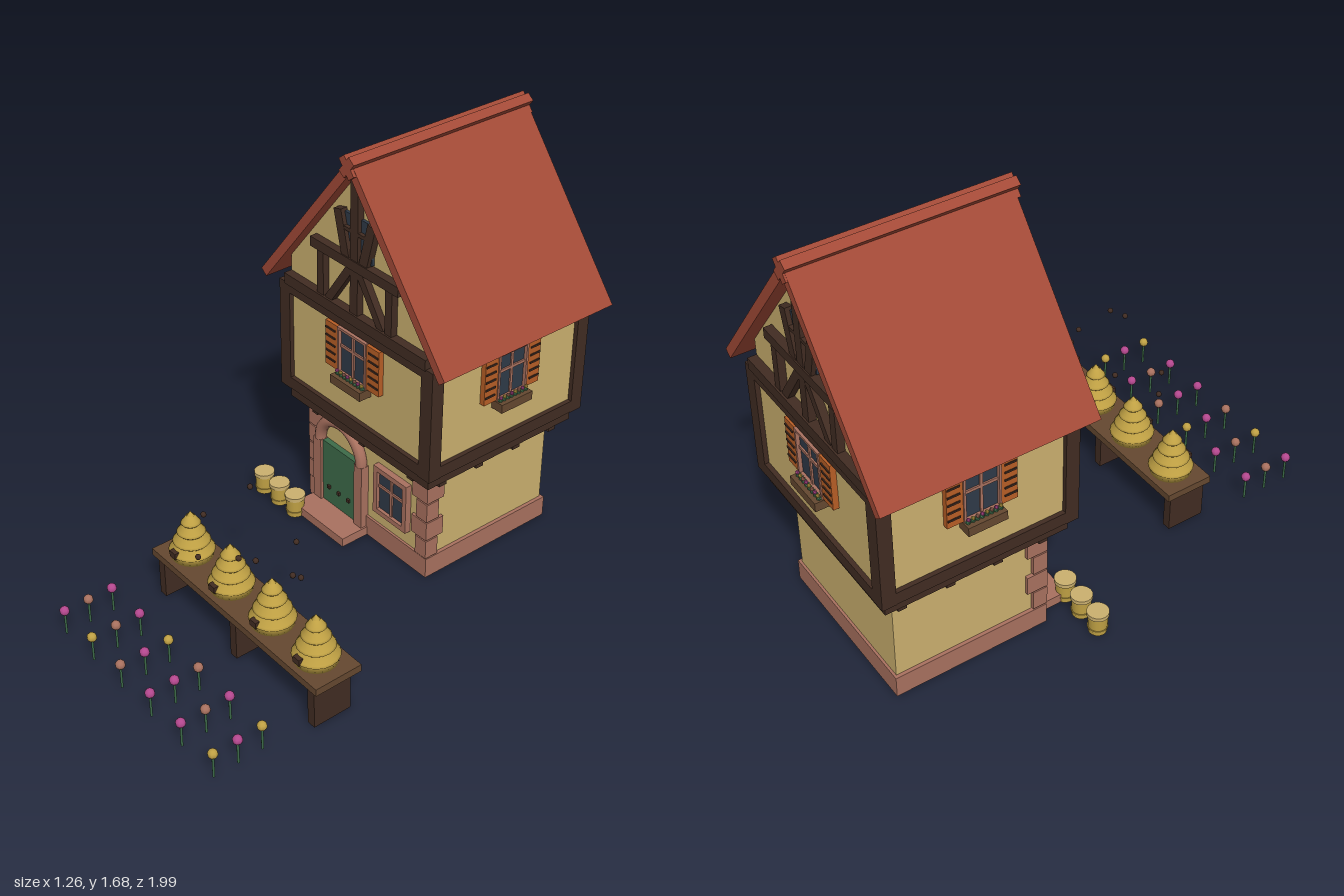
import * as THREE from 'three';

const mat = (name, color) => Object.assign(new THREE.MeshStandardMaterial({ color }), { name });
const M = {
  plaster: mat('plaster', 0xcbb06f), roof: mat('roof tile', 0xa34a37), timber: mat('dark timber', 0x412c22),
  stone: mat('pink stone', 0xa9715f), green: mat('green', 0x3d6b49), orange: mat('orange shutter', 0xb85e26),
  glass: mat('window glass', 0x2f3a48), straw: mat('straw', 0xc0a144), pink: mat('magenta petal', 0xb5488f),
  plank: mat('bench plank', 0x654830),
};

function add(parent, name, geo, m, x = 0, y = 0, z = 0) {
  const mesh = new THREE.Mesh(geo, m);
  mesh.name = name;
  mesh.position.set(x, y, z);
  parent.add(mesh);
  return mesh;
}
const box = (p, name, m, w, h, d, x, y, z) => add(p, name, new THREE.BoxGeometry(w, h, d), m, x, y, z);

function group(parent, name, x = 0, y = 0, z = 0, ry = 0) {
  const g = new THREE.Group();
  g.name = name;
  g.position.set(x, y, z);
  g.rotation.y = ry;
  parent.add(g);
  return g;
}

// Straight timber between two points on a wall plane
function beam(p, name, x1, y1, x2, y2, z, width, depth) {
  const b = box(p, name, M.timber, width, Math.hypot(x2 - x1, y2 - y1), depth, (x1 + x2) / 2, (y1 + y2) / 2, z);
  b.rotation.z = -Math.atan2(x2 - x1, y2 - y1);
  return b;
}

// Extrude an outline along z, centred
function prism(points, depth) {
  const shape = new THREE.Shape(points.map(([x, y]) => new THREE.Vector2(x, y)));
  return new THREE.ExtrudeGeometry(shape, { depth, bevelEnabled: false }).translate(0, 0, -depth / 2);
}

// Pane with stone surround and cross bars
function pane(p, w, h, y, rim) {
  box(p, 'windowGlass', M.glass, w, h, 0.012, 0, y, 0.006);
  for (const s of [-1, 1]) {
    box(p, 'windowJamb', M.stone, rim, h + rim * 2, 0.026, s * (w + rim) / 2, y, 0.013);
    box(p, 'windowRail', M.stone, w, rim, 0.026, 0, y + s * (h + rim) / 2, 0.013);
  }
  box(p, 'mullion', M.stone, 0.012, h, 0.018, 0, y, 0.009);
  box(p, 'transom', M.stone, w, 0.012, 0.018, 0, y + 0.02, 0.009);
}

// Shuttered window with flower box
function shutteredWindow(parent, x, z, ry, scale) {
  const g = group(parent, 'shutteredWindow', x, 0, z, ry);
  g.scale.x = scale;
  pane(g, 0.142, 0.18, 0.855, 0.01);
  for (const s of [-1, 1]) {
    box(g, 'shutter', M.orange, 0.07, 0.19, 0.022, s * 0.117, 0.856, 0.011);
    for (let i = 0; i < 5; i++)
      box(g, 'shutterSlat', M.timber, 0.054, 0.007, 0.006, s * 0.122, 0.792 + i * 0.033, 0.023);
  }
  box(g, 'flowerBox', M.plank, 0.17, 0.036, 0.055, 0, 0.738, 0.0275);
  for (let i = 0; i < 8; i++) {
    const fx = -0.07 + i * 0.02;
    add(g, 'boxLeaf', new THREE.IcosahedronGeometry(0.011, 0), M.green, fx, 0.759, 0.03);
    add(g, 'boxFlower', new THREE.IcosahedronGeometry(0.008, 0), [M.pink, M.straw, M.stone][i % 3], fx, 0.772, 0.034);
  }
}

// Timber framing of one gable
function gable(house, ry) {
  const g = group(house, 'gableFrame', 0, 0, 0, ry);
  const z = 0.37;
  box(g, 'gableSill', M.timber, 0.794, 0.045, 0.05, 0, 1.018, z);
  box(g, 'collarBeam', M.timber, 0.486, 0.04, 0.045, 0, 1.24, z);
  box(g, 'kingPost', M.timber, 0.042, 0.54, 0.036, 0, 1.31, z);
  box(g, 'atticWindow', M.glass, 0.16, 0.16, 0.024, 0, 1.345, 0.36);
  box(g, 'atticTransom', M.timber, 0.12, 0.014, 0.034, 0, 1.37, z);
  for (const s of [-1, 1]) {
    box(g, 'gablePost', M.timber, 0.036, 0.19, 0.036, s * 0.19, 1.13, z);
    beam(g, 'gableBrace', s * 0.15, 1.035, s * 0.02, 1.225, z, 0.034, 0.034);
    beam(g, 'upperBrace', s * 0.045, 1.245, s * 0.093, 1.43, z, 0.042, 0.036);
  }
}

function buildHouse(root) {
  const h = group(root, 'house', -0.104, 0, -0.567);
  // Ground floor
  box(h, 'groundWall', M.plaster, 0.675, 0.47, 0.61, 0, 0.235, 0);
  box(h, 'plinth', M.stone, 0.705, 0.088, 0.63, 0, 0.046, 0);
  for (const s of [-1, 1])
    for (let i = 0; i < 4; i++) {
      const w = i % 2 ? 0.085 : 0.06;
      box(h, 'cornerStone', M.stone, w, 0.08, w, s * (0.352 - w / 2), 0.135 + i * 0.086, 0.318 - w / 2);
    }
  // Arched door and step
  const d = group(h, 'doorway', -0.148, 0, 0.305);
  box(d, 'door', M.green, 0.21, 0.285, 0.024, 0, 0.1825, 0.012);
  add(d, 'doorArch', new THREE.TorusGeometry(0.125, 0.024, 10, 24, Math.PI), M.stone, 0, 0.325, 0.018);
  for (const s of [-1, 1]) box(d, 'doorJamb', M.stone, 0.046, 0.29, 0.036, s * 0.125, 0.182, 0.018);
  for (let i = 0; i < 3; i++) box(d, 'doorStud', M.timber, 0.014, 0.014, 0.01, -0.06 + i * 0.06, 0.12, 0.028);
  box(d, 'doorStep', M.stone, 0.31, 0.038, 0.14, 0, 0.02, 0.065);
  pane(group(h, 'groundWindow', 0.153, 0, 0.305), 0.146, 0.175, 0.268, 0.022);

  // Jettied upper floor
  box(h, 'jettyBeam', M.timber, 0.805, 0.06, 0.73, 0, 0.502, 0);
  box(h, 'sillBeam', M.timber, 0.866, 0.05, 0.78, 0, 0.557, 0);
  box(h, 'upperWall', M.plaster, 0.83, 0.4, 0.744, 0, 0.77, 0);
  box(h, 'topPlate', M.timber, 0.866, 0.04, 0.78, 0, 0.98, 0);
  for (const s of [-1, 1]) {
    for (const t of [-1, 1]) box(h, 'cornerPost', M.timber, 0.06, 0.47, 0.055, s * 0.403, 0.765, t * 0.3625);
    for (const z of [-0.29, -0.1, 0.09, 0.275]) box(h, 'sideJoist', M.timber, 0.06, 0.032, 0.035, s * 0.356, 0.457, z);
    for (const x of [-0.28, 0, 0.28]) box(h, 'endJoist', M.timber, 0.032, 0.032, 0.05, x, 0.457, s * 0.32);
    shutteredWindow(h, s * 0.415, 0, s * Math.PI / 2, 0.9);
    shutteredWindow(h, 0, s * 0.372, s > 0 ? 0 : Math.PI, 1);
  }

  // Gables and roof
  add(h, 'gableWall', prism([[-0.397, 0.99], [0.397, 0.99], [0.397, 1.11], [0, 1.61], [-0.397, 1.11]], 0.72), M.plaster);
  gable(h, 0);
  gable(h, Math.PI);
  add(h, 'roof', prism([[0.516, 1.015], [0, 1.664], [-0.516, 1.015], [-0.487, 0.992], [0, 1.604], [0.487, 0.992]], 0.83), M.roof, 0, 0, -0.003);
  for (const s of [-1, 1])
    box(h, 'ridgeTile', M.roof, 0.085, 0.035, 0.85, 0, 1.634, 0).rotation.z = s * 0.9;
}

// Stepped straw hive with a dark entrance
function hive(parent, x) {
  const g = group(parent, 'beehive', x, 0.2, 0.487);
  const profile = [[0, 0], [0.08, 0]];
  [0.088, 0.072, 0.055, 0.038].forEach((r, i) => {
    const y = 0.028 + i * 0.04;
    profile.push([r - 0.006, y - 0.006], [r, y], [r - 0.006, y + 0.006], [r - 0.023, y + 0.033]);
  });
  profile.push([0.02, 0.165], [0, 0.2]);
  const geo = new THREE.LatheGeometry(profile.map(([r, y]) => new THREE.Vector2(r, y)), 20);
  add(g, 'hiveBody', geo, M.straw);
  box(g, 'hiveEntrance', M.timber, 0.034, 0.026, 0.03, 0, 0.036, 0.074);
}

function buildGarden(root) {
  // Bench with hives
  const bench = group(root, 'hiveBench');
  box(bench, 'benchTop', M.plank, 0.977, 0.03, 0.2, 0.1415, 0.185, 0.487);
  for (const x of [-0.307, 0.139, 0.587]) box(bench, 'benchLeg', M.timber, 0.036, 0.17, 0.16, x, 0.085, 0.495);
  for (let i = 0; i < 4; i++) hive(bench, -0.228 + i * 0.245);

  // Honey pots beside the door
  for (const x of [-0.592, -0.491, -0.39]) {
    const pot = group(root, 'honeyPot', x, 0, -0.122);
    add(pot, 'potBody', new THREE.CylinderGeometry(0.038, 0.035, 0.08, 16), M.straw, 0, 0.04, 0);
    add(pot, 'potBand', new THREE.CylinderGeometry(0.039, 0.038, 0.008, 16), M.straw, 0, 0.02, 0);
    add(pot, 'potLid', new THREE.CylinderGeometry(0.042, 0.042, 0.016, 16), M.plaster, 0, 0.086, 0);
  }

  // Flower rows: p magenta, y yellow, r rose
  ['ppyrpy', 'rrpprp', 'pyrppy'].forEach((row, j) => [...row].forEach((c, i) => {
    const f = group(root, 'flower', -0.349 + i * 0.184, 0, 0.772 + j * 0.102);
    add(f, 'stem', new THREE.CylinderGeometry(0.005, 0.005, 0.1, 6), M.green, 0, 0.05, 0);
    add(f, 'bloom', new THREE.SphereGeometry(0.019, 8, 6), { p: M.pink, y: M.straw, r: M.stone }[c], 0, 0.106, 0);
  }));

  // Bees
  const bees = [[-0.016, 0.575, 0.367], [0.21, 0.45, 0.337], [0.376, 0.452, 0.447], [0.386, 0.491, 0.49],
    [-0.1, 0.472, 0.515], [0.04, 0.43, 0.64], [0.273, 0.567, 0.632], [0.327, 0.574, 0.6]];
  for (const b of bees) add(root, 'bee', new THREE.SphereGeometry(0.011, 8, 6), M.timber, ...b);
}

export function createModel() {
  const root = new THREE.Group();
  root.name = 'beekeeperCottage';
  buildHouse(root);
  buildGarden(root);
  return root;
}
